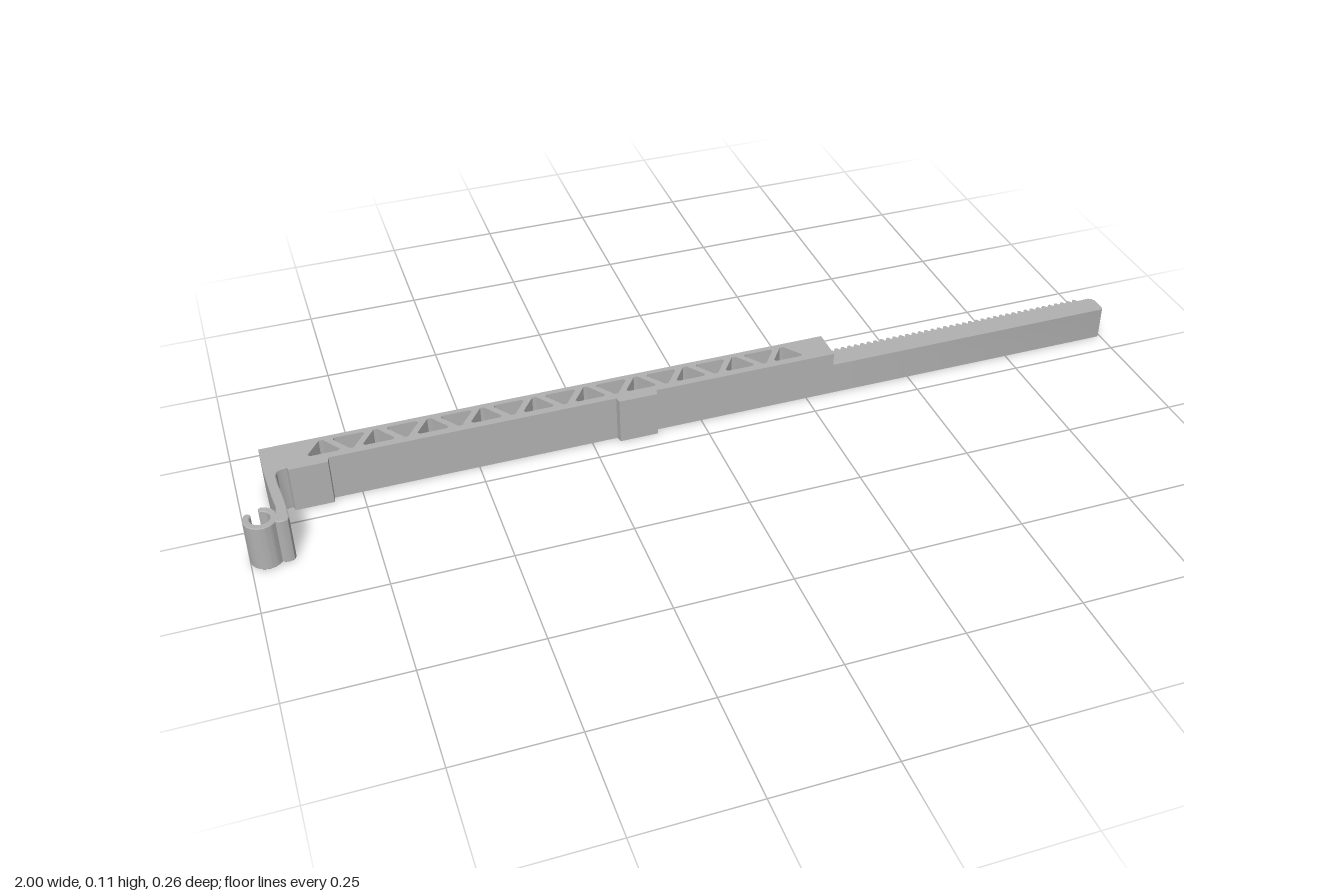
import * as THREE from 'three';
import { toCreasedNormals } from 'three/addons/utils/BufferGeometryUtils.js';

// Plan outlines are lists of [x, z], extruded upwards from y = 0
const outline = (pts, Type = THREE.Shape) => new Type(pts.map(([x, z]) => new THREE.Vector2(x, -z)));

export function createModel() {
  const group = new THREE.Group();
  const grey = new THREE.MeshStandardMaterial({ color: 0xb0b0b0 });
  grey.name = 'grey plastic';
  const H = 0.106;

  // Extrudes a plan outline, with a fine chamfer round the top and bottom if asked
  function addPart(name, shape, height, chamfer = 0) {
    const geo = new THREE.ExtrudeGeometry(shape, {
      depth: height - 2 * chamfer, curveSegments: 16,
      bevelEnabled: chamfer > 0, bevelSegments: 1,
      bevelThickness: chamfer, bevelSize: chamfer, bevelOffset: -chamfer,
    });
    geo.translate(0, 0, chamfer).rotateX(-Math.PI / 2);
    const mesh = new THREE.Mesh(toCreasedNormals(geo, 0.6), grey);
    mesh.name = name;
    group.add(mesh);
  }

  // Beam with two raised pads on its front face
  const back = -0.128, front = -0.053, pad = -0.039;
  const beam = outline([
    [-0.94, back], [0.313, back], [0.313, front],
    [-0.102, front], [-0.105, pad], [-0.19, pad], [-0.193, front],
    [-0.808, front], [-0.811, pad], [-0.891, pad], [-0.895, front],
    [-0.94, front],
  ]);

  // Alternating triangular truss openings with blunted corners, all wound the same way
  const zTop = -0.116, zBase = -0.07, half = 0.033, tip = 0.004;
  for (let i = 0; i < 19; i++) {
    const x = -0.814 + i * 0.057;
    const down = i % 2 === 1;
    const [apex, base] = down ? [zBase, zTop] : [zTop, zBase];
    const s = down ? 1 : -1;
    const inset = base + (apex - base) * 0.12;
    beam.holes.push(outline([
      [x - s * tip, apex], [x + s * tip, apex], [x + s * half, inset],
      [x + s * (half - 0.004), base], [x - s * (half - 0.004), base], [x - s * half, inset],
    ], THREE.Path));
  }
  addPart('beam', beam, H);

  // Toothed rack, lower than the beam, with a rounded free end
  const rack = [
    [0.30, -0.053], [0.992, -0.053], [0.996, -0.055], [0.998, -0.059],
    [0.998, -0.093], [0.994, -0.101], [0.986, -0.105],
  ];
  const teeth = 40, pitch = 0.016;
  for (let i = 0; i < teeth; i++) {
    const x = 0.958 - i * pitch;
    rack.push([x, -0.104], [x - pitch * 0.3, -0.112], [x - pitch * 0.6, -0.112], [x - pitch * 0.9, -0.104]);
  }
  rack.push([0.30, -0.104]);
  addPart('rack', outline(rack), 0.076);

  // Arm reaching forward from the end of the beam
  addPart('arm', outline([
    [-0.94, -0.058], [-0.94, -0.05], [-0.935, 0.037], [-0.932, 0.07], [-0.937, 0.098],
    [-0.942, 0.112], [-0.934, 0.118], [-0.924, 0.119], [-0.915, 0.116], [-0.911, 0.108],
    [-0.911, 0.07], [-0.913, 0.037], [-0.917, 0], [-0.918, -0.03],
    [-0.914, -0.042], [-0.905, -0.048], [-0.893, -0.05], [-0.893, -0.058],
  ]), H, 0.002);

  // Open C-shaped clip with rounded lips
  const cx = -0.966, cz = 0.094, rOut = 0.034, rIn = 0.02;
  const mid = (rOut + rIn) / 2, lip = (rOut - rIn) / 2;
  const start = THREE.MathUtils.degToRad(150), end = THREE.MathUtils.degToRad(435);
  const clip = new THREE.Shape();
  clip.absarc(cx, -cz, rOut, start, end, false);
  clip.absarc(cx + mid * Math.cos(end), -cz + mid * Math.sin(end), lip, end, end + Math.PI, false);
  clip.absarc(cx, -cz, rIn, end, start, true);
  clip.absarc(cx + mid * Math.cos(start), -cz + mid * Math.sin(start), lip, start + Math.PI, start + 2 * Math.PI, false);
  addPart('clip', clip, H, 0.002);

  return group;
}
